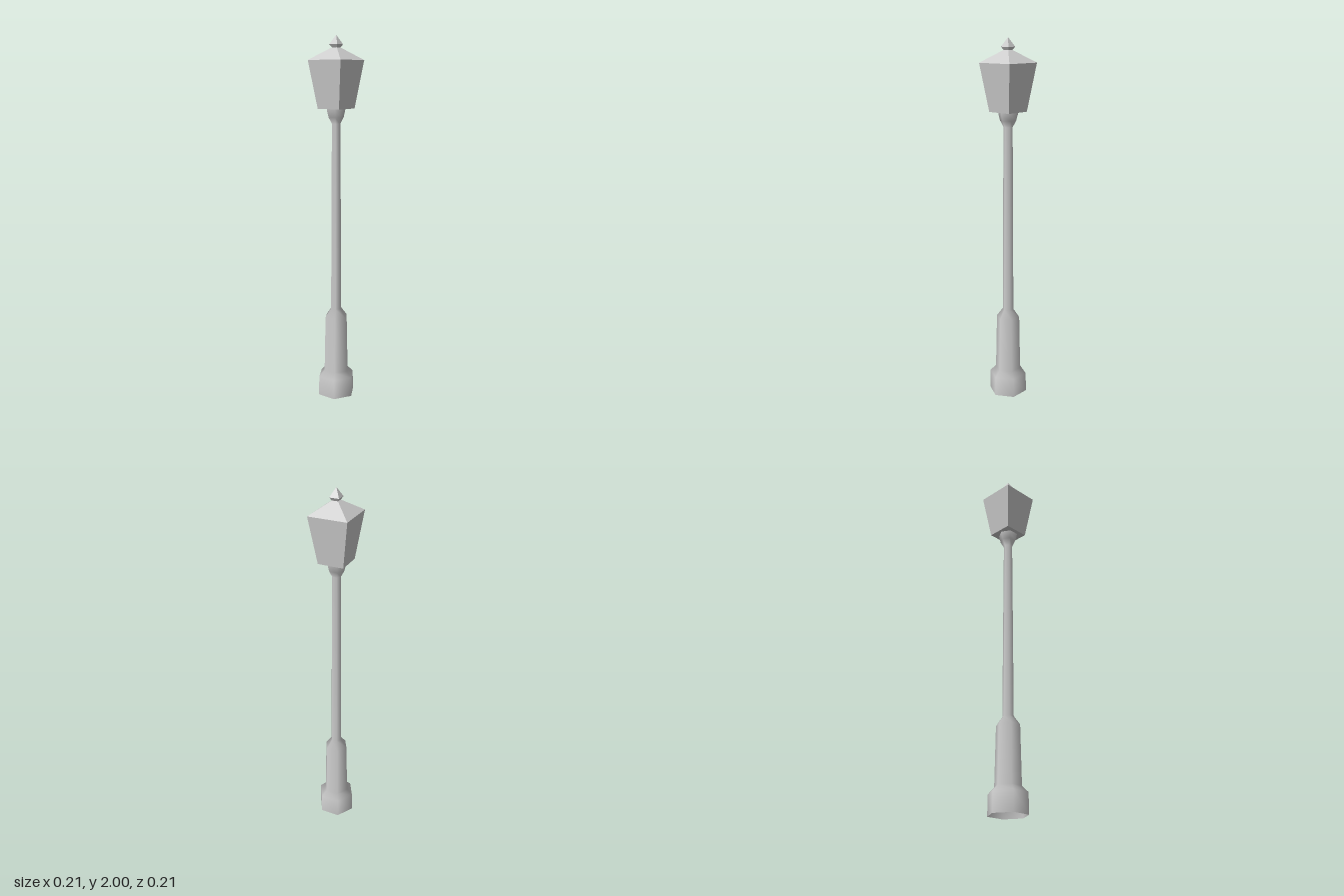
import * as THREE from 'three';

// Turn [radius, height] pairs, listed from bottom to top, into a lathe
const lathe = (profile, sides, start = 0) =>
  new THREE.LatheGeometry(profile.map(([r, y]) => new THREE.Vector2(r, y)), sides, start);

// Square, sharp-edged part from [half width, height] pairs
function squareLathe(profile) {
  const corners = profile.map(([h, y]) => [h * Math.SQRT2, y]);
  const geometry = lathe(corners, 4, Math.PI / 4).toNonIndexed();
  geometry.computeVertexNormals();
  return geometry;
}

export function createModel() {
  const group = new THREE.Group();
  const smooth = new THREE.MeshStandardMaterial({ color: 0xcccccc, side: THREE.DoubleSide });
  const flat = new THREE.MeshStandardMaterial({ color: 0xcccccc, flatShading: true });

  const add = (name, geometry, material) => {
    const mesh = new THREE.Mesh(geometry, material);
    mesh.name = name;
    group.add(mesh);
  };

  // Six-sided post, open underneath: foot, pedestal, slender shaft and lantern cup
  add('post', lathe([
    [0.107, 0], [0.105, 0.11], [0.072, 0.143],
    [0.065, 0.46], [0.031, 0.507], [0.025, 1.54],
    [0.044, 1.575], [0.052, 1.605], [0.054, 1.62],
  ], 6), smooth);

  // Lantern body with a closed floor, flaring up to the eaves
  add('lanternBody', squareLathe([[0, 1.62], [0.07, 1.62], [0.106, 1.872]]), flat);

  // Shallow pyramid roof
  add('lanternRoof', squareLathe([[0.106, 1.872], [0.016, 1.936]]), flat);

  // Pointed finial, flaring from its neck
  add('finial', squareLathe([[0.016, 1.936], [0.026, 1.952], [0, 2]]), flat);

  return group;
}
